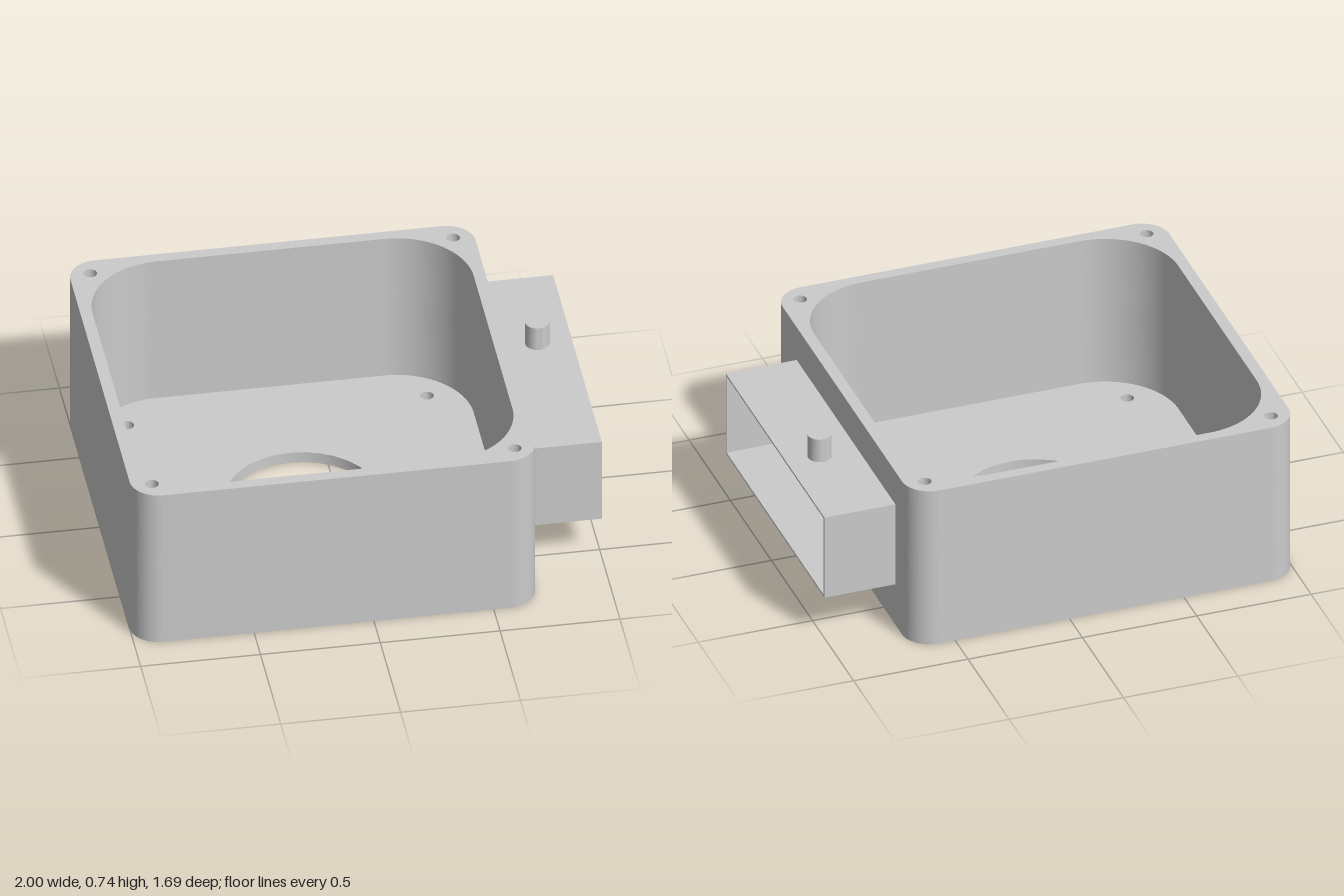
import * as THREE from 'three';
import { toCreasedNormals } from 'three/addons/utils/BufferGeometryUtils.js';

const CX = -0.155; // centre of the box in x
const HEIGHT = 0.74, FLOOR = 0.05, SCREW_DEPTH = 0.3;

// Rounded square outline, drawn as a Shape or a hole Path
function roundedSquare(path, half, r) {
  const c = half - r;
  path.absarc(CX + c, c, r, 0, Math.PI / 2);
  path.absarc(CX - c, c, r, Math.PI / 2, Math.PI);
  path.absarc(CX - c, -c, r, Math.PI, Math.PI * 1.5);
  path.absarc(CX + c, -c, r, Math.PI * 1.5, Math.PI * 2);
  path.closePath();
  return path;
}

const circle = (x, y, r) => new THREE.Path().absarc(x, y, r, 0, Math.PI * 2);

// Four round holes at the corners of a square
function cornerHoles(d, r) {
  return [[1, 1], [-1, 1], [-1, -1], [1, -1]].map(([a, b]) => circle(CX + a * d, b * d, r));
}

function rectangle(path, x0, y0, x1, y1) {
  path.moveTo(x0, y0);
  path.lineTo(x1, y0);
  path.lineTo(x1, y1);
  path.lineTo(x0, y1);
  path.closePath();
  return path;
}

export function createModel() {
  const group = new THREE.Group();
  const material = new THREE.MeshStandardMaterial({ color: 0xcccccc });

  const add = (name, geometry) => {
    const mesh = new THREE.Mesh(toCreasedNormals(geometry, 0.6), material);
    mesh.name = name;
    group.add(mesh);
    return mesh;
  };
  const extrude = (shape, depth) =>
    new THREE.ExtrudeGeometry(shape, { depth, bevelEnabled: false, curveSegments: 16 });

  // Horizontal slab of the box between two heights
  const slab = (name, y0, y1, holes) => {
    const shape = roundedSquare(new THREE.Shape(), 0.845, 0.12);
    shape.holes.push(...holes);
    add(name, extrude(shape, y1 - y0).rotateX(-Math.PI / 2).translate(0, y0, 0));
  };
  const cavity = () => roundedSquare(new THREE.Path(), 0.795, 0.32);

  // Floor with the central opening and mounting holes, then walls with blind screw holes
  slab('floor', 0, FLOOR, [circle(CX, 0, 0.32), ...cornerHoles(0.625, 0.028)]);
  slab('lowerWalls', FLOOR, HEIGHT - SCREW_DEPTH, [cavity()]);
  slab('upperWalls', HEIGHT - SCREW_DEPTH, HEIGHT, [cavity(), ...cornerHoles(0.757, 0.028)]);

  // Thin rectangular duct on the side, open at its outer end
  const t = 0.009;
  const duct = rectangle(new THREE.Shape(), -0.555, 0.195, 0.645, 0.582);
  duct.holes.push(rectangle(new THREE.Path(), -0.555 + t, 0.195 + t, 0.645 - t, 0.582 - t));
  add('sideDuct', extrude(duct, 0.31).rotateY(Math.PI / 2).translate(0.69, 0, 0));

  // Pivot pins above and below the duct
  for (const [name, y0, y1, z] of [['upperPin', 0.577, 0.69, -0.182], ['lowerPin', 0.09, 0.2, -0.172]]) {
    const pin = add(name, new THREE.CylinderGeometry(0.05, 0.05, y1 - y0, 32));
    pin.position.set(0.855, (y0 + y1) / 2, z);
  }

  return group;
}
